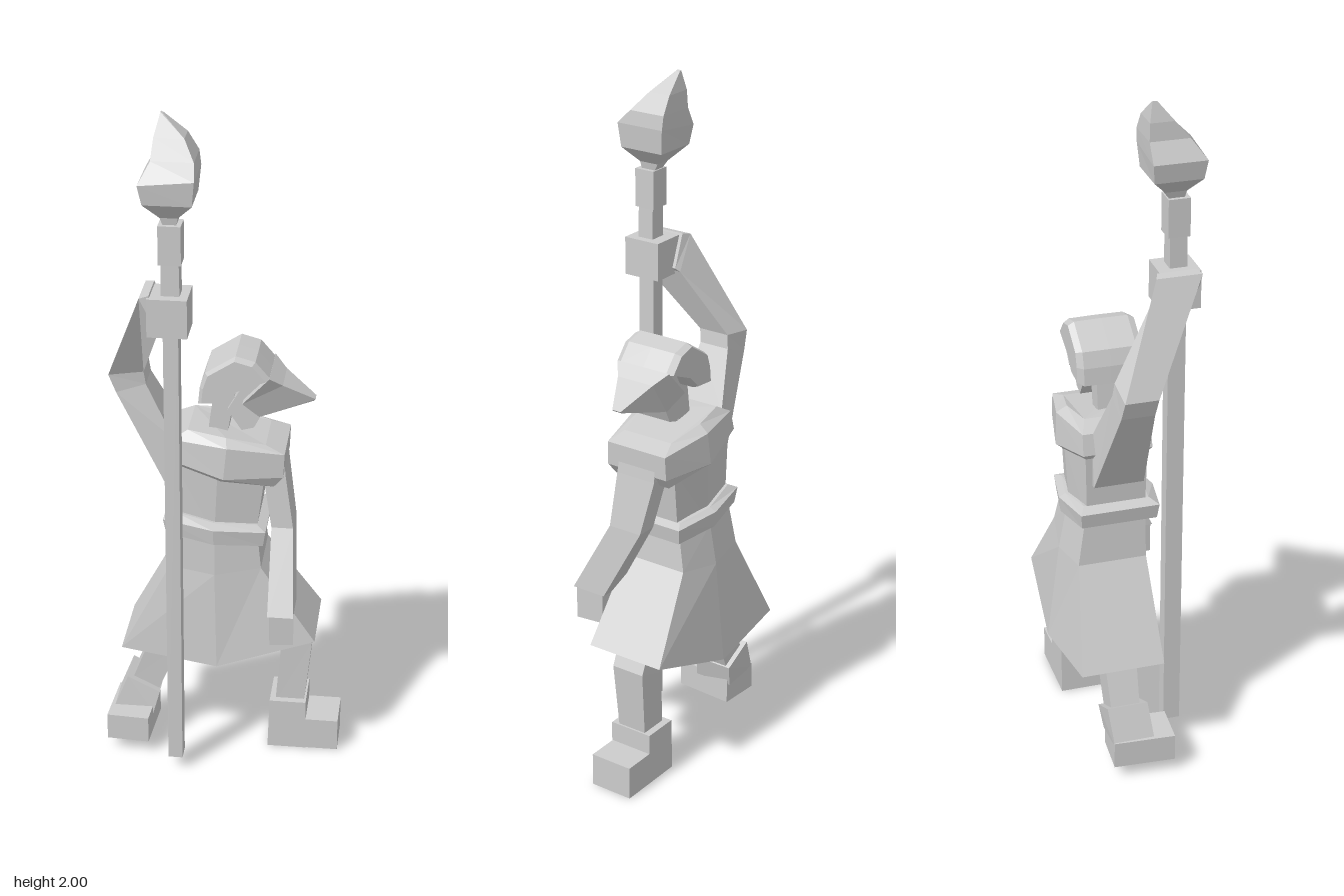
import * as THREE from 'three';

const cloth = new THREE.MeshStandardMaterial({ color: 0xcccccc, flatShading: true });
cloth.name = 'plain grey';

// Skin a series of equal-length point rings into a closed, outward-facing solid.
function loft(name, rings) {
  const tris = [], n = rings[0].length;
  for (let r = 0; r < rings.length - 1; r++) {
    const a = rings[r], b = rings[r + 1];
    for (let i = 0; i < n; i++) {
      const j = (i + 1) % n;
      tris.push([a[i], a[j], b[j]], [a[i], b[j], b[i]]);
    }
  }
  const first = rings[0], last = rings[rings.length - 1];
  for (let i = 1; i < n - 1; i++) {
    tris.push([first[0], first[i + 1], first[i]], [last[0], last[i], last[i + 1]]);
  }
  // The sign of the volume decides the corner order.
  const V = p => new THREE.Vector3(...p);
  const volume = tris.reduce((s, [a, b, c]) => s + V(a).dot(V(b).cross(V(c))), 0);
  const pos = tris.flatMap(t => (volume < 0 ? [t[0], t[2], t[1]] : t).flat());
  const geo = new THREE.BufferGeometry();
  geo.setAttribute('position', new THREE.Float32BufferAttribute(pos, 3));
  geo.computeVertexNormals();
  const mesh = new THREE.Mesh(geo, cloth);
  mesh.name = name;
  return mesh;
}

// Limb section: a segment in xy, spread over a range of z.
const sec = (x0, y0, x1, y1, z0, z1) => [[x0, y0, z0], [x1, y1, z0], [x1, y1, z1], [x0, y0, z1]];

// Level rectangle section.
const rect = (y, x0, x1, z0, z1) => sec(x0, y, x1, y, z0, z1);

// Six-sided body section: left and right edges at heights yl, ym, yr, with pointed front and back.
const hex = (xl, yl, ym, xr, yr, zc, side, mid) => {
  const xm = (xl + xr) / 2;
  return [[xl, yl, zc - side], [xm, ym, zc - mid], [xr, yr, zc - side],
    [xr, yr, zc + side], [xm, ym, zc + mid], [xl, yl, zc + side]];
};

// Side profile in xy lofted through slices of [z, scale].
const slab = (name, pts, slices) => {
  const cx = pts.reduce((s, p) => s + p[0], 0) / pts.length;
  const cy = pts.reduce((s, p) => s + p[1], 0) / pts.length;
  return loft(name, slices.map(([z, k]) => pts.map(([x, y]) => [cx + (x - cx) * k, cy + (y - cy) * k, z])));
};

function box(name, x0, x1, y0, y1, z0, z1) {
  const mesh = new THREE.Mesh(new THREE.BoxGeometry(x1 - x0, y1 - y0, z1 - z0), cloth);
  mesh.position.set((x0 + x1) / 2, (y0 + y1) / 2, (z0 + z1) / 2);
  mesh.name = name;
  return mesh;
}

function group(name, ...parts) {
  const g = new THREE.Group();
  g.name = name;
  g.add(...parts);
  return g;
}

export function createModel() {
  // Robe: hollow skirt, belt, torso and shoulder cape
  const robe = group('robe',
    loft('skirt', [
      hex(-0.145, 0.75, 0.74, 0.1, 0.74, -0.035, 0.09, 0.11),
      hex(-0.155, 0.63, 0.62, 0.11, 0.64, -0.045, 0.1, 0.122),
      hex(-0.3, 0.35, 0.32, 0.27, 0.41, -0.055, 0.122, 0.147),
      hex(-0.275, 0.35, 0.325, 0.245, 0.41, -0.055, 0.105, 0.125),
      hex(-0.22, 0.45, 0.43, 0.2, 0.47, -0.055, 0.09, 0.11),
    ]),
    loft('belt', [
      hex(-0.16, 0.755, 0.738, 0.118, 0.73, -0.025, 0.11, 0.135),
      hex(-0.168, 0.8, 0.785, 0.125, 0.775, -0.025, 0.115, 0.14),
      hex(-0.14, 0.815, 0.795, 0.1, 0.785, -0.03, 0.095, 0.115),
    ]),
    loft('torso', [
      hex(-0.14, 0.76, 0.75, 0.095, 0.75, -0.03, 0.085, 0.105),
      hex(-0.145, 0.98, 0.95, 0.12, 0.95, -0.03, 0.09, 0.115),
    ]),
    loft('shoulderCape', [
      hex(-0.15, 0.97, 0.93, 0.145, 0.91, -0.03, 0.09, 0.115),
      hex(-0.16, 0.985, 0.945, 0.172, 0.945, -0.03, 0.1, 0.135),
      hex(-0.145, 1.045, 1.04, 0.175, 1.015, -0.03, 0.098, 0.13),
      hex(-0.1, 1.07, 1.06, 0.12, 1.035, -0.03, 0.08, 0.1),
    ]));

  // Head with a domed cap and a long beaked mask
  const head = group('head',
    loft('neck', [rect(1.03, -0.05, 0.005, -0.055, 0.015), rect(1.18, -0.03, 0.03, -0.055, 0.015)]),
    slab('cap',
      [[-0.07, 1.155], [-0.065, 1.205], [-0.05, 1.25], [0.035, 1.305], [0.09, 1.29], [0.133, 1.24],
        [0.09, 1.235], [0.05, 1.21], [0.0, 1.16]],
      [[-0.118, 0.88], [-0.1, 1], [-0.022, 1.01], [0.055, 1], [0.073, 0.88]]),
    slab('face', [[0.01, 1.13], [0.05, 1.07], [0.085, 1.08], [0.105, 1.12], [0.12, 1.23], [0.06, 1.22]],
      [[-0.08, 1], [0.035, 1]]),
    loft('beak', [
      sec(0.13, 1.245, 0.055, 1.165, -0.11, 0.066),
      sec(0.165, 1.215, 0.1, 1.115, -0.08, 0.038),
      sec(0.253, 1.157, 0.248, 1.152, -0.036, -0.008),
    ]));

  // Raised arm on the model's right
  const raisedArm = group('raisedArm',
    loft('raisedSleeve', [
      sec(-0.14, 0.88, -0.1, 1.04, -0.1, 0.045),
      sec(-0.16, 0.88, -0.14, 1.035, -0.1, 0.045),
      sec(-0.305, 1.165, -0.22, 1.195, -0.065, 0.03),
      sec(-0.325, 1.22, -0.225, 1.235, -0.06, 0.035),
      sec(-0.21, 1.52, -0.16, 1.42, 0.06, 0.19),
      sec(-0.185, 1.525, -0.15, 1.43, 0.07, 0.18),
    ]),
    box('raisedHand', -0.19, -0.08, 1.41, 1.52, 0.08, 0.193));

  // Hanging arm on the model's left
  const lowHand = box('loweredHand', 0.142, 0.21, 0.45, 0.55, 0.075, 0.16);
  lowHand.rotation.y = 0.12;
  const loweredArm = group('loweredArm',
    loft('loweredSleeve', [
      rect(0.99, 0.13, 0.17, -0.09, 0.03),
      rect(0.93, 0.112, 0.176, -0.092, 0.035),
      rect(0.77, 0.138, 0.2, -0.06, 0.045),
      rect(0.545, 0.14, 0.214, 0.06, 0.168),
    ]),
    lowHand);

  // Bent front leg with a boot pointing sideways
  const frontLeg = group('leftLeg',
    loft('leftTrouser', [
      sec(0.06, 0.45, 0.17, 0.52, -0.11, -0.005),
      sec(0.14, 0.365, 0.235, 0.41, -0.108, -0.005),
      sec(0.165, 0.33, 0.257, 0.36, -0.108, -0.005),
      sec(0.15, 0.14, 0.235, 0.14, -0.1, -0.01),
    ]),
    loft('leftBootShaft', [rect(0, 0.13, 0.245, -0.122, 0.012), rect(0.16, 0.135, 0.243, -0.122, 0.012)]),
    box('leftBootToe', 0.2, 0.34, 0, 0.1, -0.122, 0.01));

  // Stretched rear leg with a boot pointing forward
  const rearSole = box('rightBootToe', -0.34, -0.215, 0.04, 0.122, -0.088, 0.092);
  rearSole.rotation.y = -0.06;
  const rearLeg = group('rightLeg',
    loft('rightTrouser', [
      sec(-0.15, 0.48, -0.04, 0.43, -0.09, 0.005),
      sec(-0.225, 0.345, -0.135, 0.33, -0.09, 0.005),
      sec(-0.28, 0.2, -0.205, 0.16, -0.085, 0.0),
    ]),
    loft('rightBootShaft', [
      sec(-0.335, 0.11, -0.215, 0.1, -0.09, 0.03),
      sec(-0.292, 0.218, -0.196, 0.17, -0.1, 0.02),
    ]),
    rearSole);

  // Torch staff with a square-sectioned flame
  const torch = group('torch',
    box('staff', -0.15, -0.108, 0.04, 1.45, 0.115, 0.165),
    loft('torchNeck', [rect(1.5, -0.155, -0.103, 0.115, 0.165), rect(1.62, -0.153, -0.105, 0.115, 0.163)]),
    box('torchHead', -0.16, -0.098, 1.61, 1.72, 0.108, 0.17),
    loft('flame', [
      rect(1.71, -0.145, -0.113, 0.118, 0.155),
      rect(1.74, -0.155, -0.107, 0.1, 0.16),
      rect(1.785, -0.197, -0.065, 0.057, 0.193),
      sec(-0.208, 1.84, -0.058, 1.855, 0.05, 0.2),
      sec(-0.178, 1.895, -0.063, 1.895, 0.048, 0.16),
      sec(-0.175, 1.945, -0.093, 1.945, 0.05, 0.118),
      sec(-0.162, 2.0, -0.155, 1.997, 0.06, 0.072),
    ]));

  return group('torchBearer', robe, head, raisedArm, loweredArm, frontLeg, rearLeg, torch);
}
